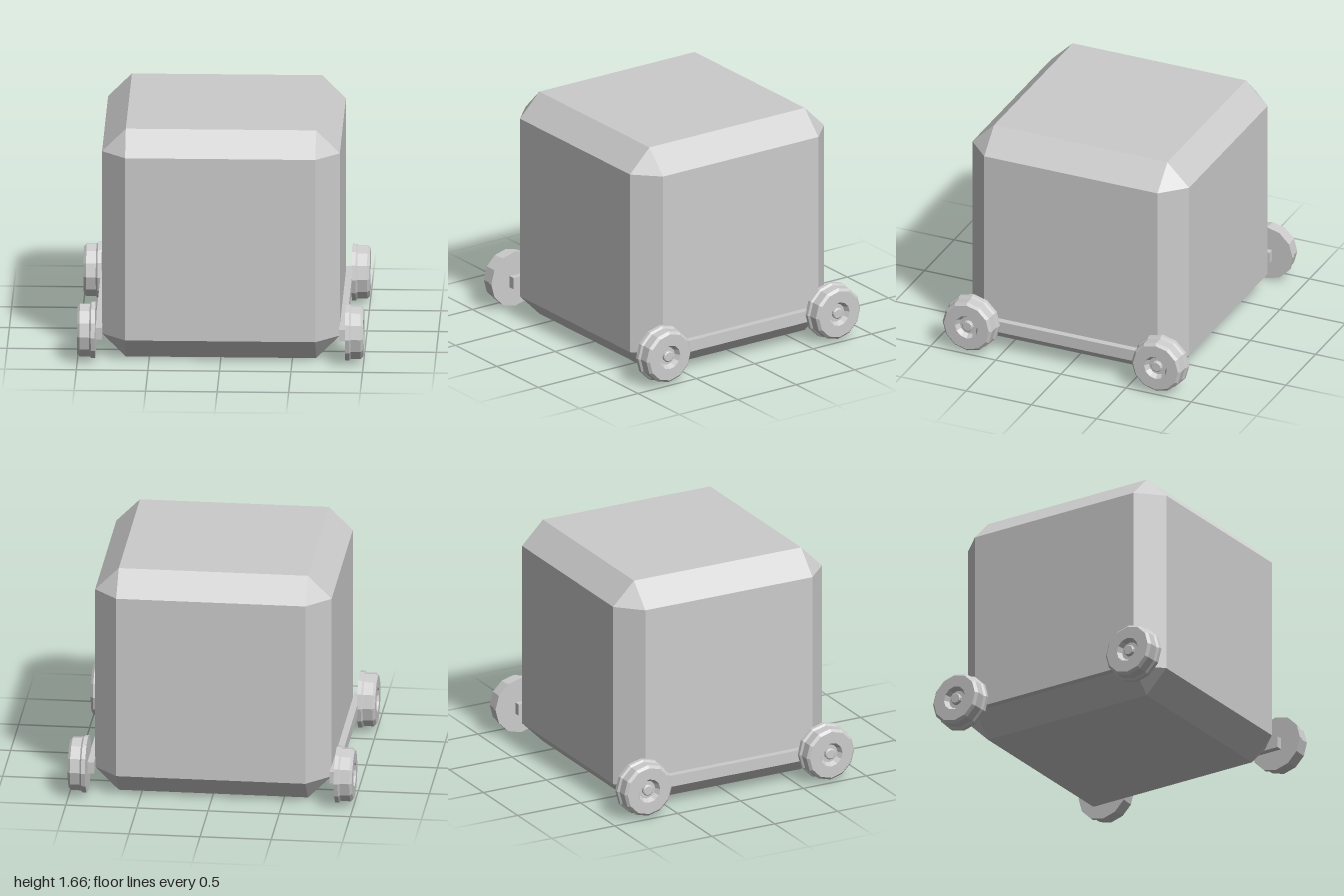
import * as THREE from 'three';
import { ConvexGeometry } from 'three/addons/geometries/ConvexGeometry.js';

const grey = new THREE.MeshStandardMaterial({ color: 0xcccccc, flatShading: true });

function addMesh(parent, name, geometry, x, y, z) {
  const mesh = new THREE.Mesh(geometry, grey);
  mesh.name = name;
  mesh.position.set(x, y, z);
  parent.add(mesh);
  return mesh;
}

// Cube with all edges and corners chamfered: three points per corner
function chamferedCube(half, chamfer) {
  const inner = half - chamfer;
  const points = [];
  for (const sx of [-1, 1]) for (const sy of [-1, 1]) for (const sz of [-1, 1]) {
    for (let axis = 0; axis < 3; axis++) {
      const size = [inner, inner, inner];
      size[axis] = half;
      points.push(new THREE.Vector3(sx * size[0], sy * size[1], sz * size[2]));
    }
  }
  return new ConvexGeometry(points);
}

// Flanged wheel profile (radius, distance outward), with a recessed hub
const wheelProfile = [
  [0, 0], [0.203, 0], [0.203, 0.028], [0.19, 0.04],
  [0.19, 0.108], [0.172, 0.126], [0.087, 0.126],
  [0.066, 0.09], [0.04, 0.09], [0.04, 0.108], [0.033, 0.114], [0, 0.114],
].map(([r, d]) => new THREE.Vector2(r, d));

export function createModel() {
  const model = new THREE.Group();
  model.name = 'wheeledCube';

  addMesh(model, 'body', chamferedCube(0.831, 0.166), 0, 0.831, 0);

  const railGeometry = new THREE.BoxGeometry(0.05, 0.084, 1.54);
  const wheelGeometry = new THREE.LatheGeometry(wheelProfile, 12);

  for (const [side, label] of [[1, 'left'], [-1, 'right']]) {
    // Side rail carrying the two wheels
    addMesh(model, label + 'Rail', railGeometry, side * 0.853, 0.196, 0);
    for (const [end, place] of [[1, 'Front'], [-1, 'Back']]) {
      const wheel = addMesh(model, label + place + 'Wheel', wheelGeometry, side * 0.874, 0.209, end * 0.725);
      wheel.rotation.z = -side * Math.PI / 2;
    }
  }
  return model;
}
